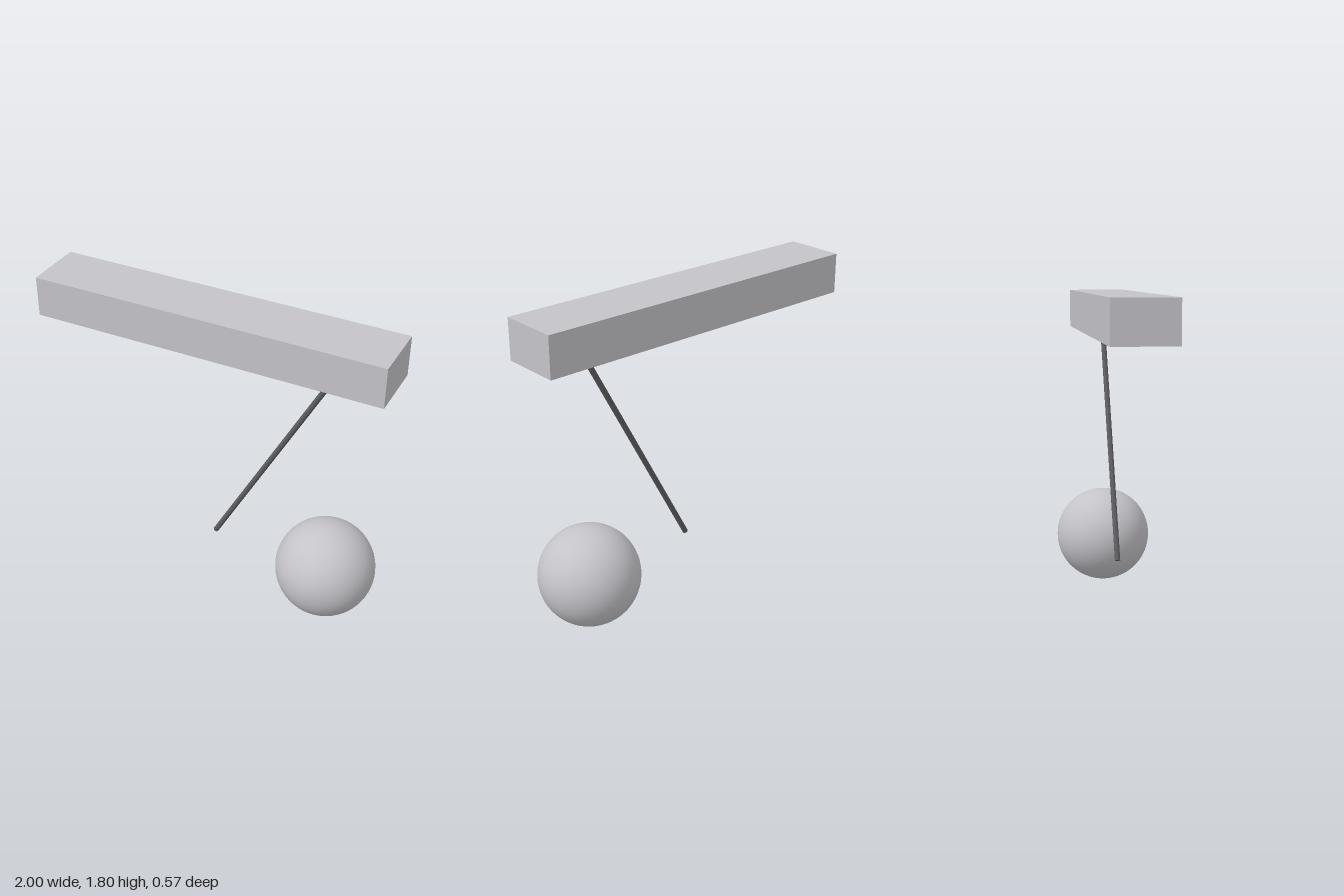
import * as THREE from 'three';

const lightGrey = new THREE.MeshStandardMaterial({ color: 0xc4c3c8 });
lightGrey.name = 'lightGrey';
const darkGrey = new THREE.MeshStandardMaterial({ color: 0x5c5c60 });
darkGrey.name = 'darkGrey';

// Straight round rod between two points
function rodBetween(a, b, radius, material) {
  const dir = b.clone().sub(a);
  const mesh = new THREE.Mesh(new THREE.CylinderGeometry(radius, radius, dir.length(), 24), material);
  mesh.position.copy(a).add(b).multiplyScalar(0.5);
  mesh.quaternion.setFromUnitVectors(new THREE.Vector3(0, 1, 0), dir.normalize());
  return mesh;
}

export function createModel() {
  const group = new THREE.Group();
  group.name = 'pendulum';

  // Overhead support beam
  const beam = new THREE.Mesh(new THREE.BoxGeometry(2, 0.228, 0.34), lightGrey);
  beam.name = 'beam';
  beam.position.set(0, 1.686, 0);
  group.add(beam);

  // Slanted rod, its upper end just inside the beam
  const rod = rodBetween(
    new THREE.Vector3(0, 0.288, 0),
    new THREE.Vector3(0.69, 1.585, 0),
    0.0155,
    darkGrey
  );
  rod.name = 'rod';
  group.add(rod);

  // Ball resting apart from the rod
  const ball = new THREE.Mesh(new THREE.SphereGeometry(0.285, 48, 32), lightGrey);
  ball.name = 'ball';
  ball.position.set(0.7, 0.286, 0);
  group.add(ball);

  return group;
}
